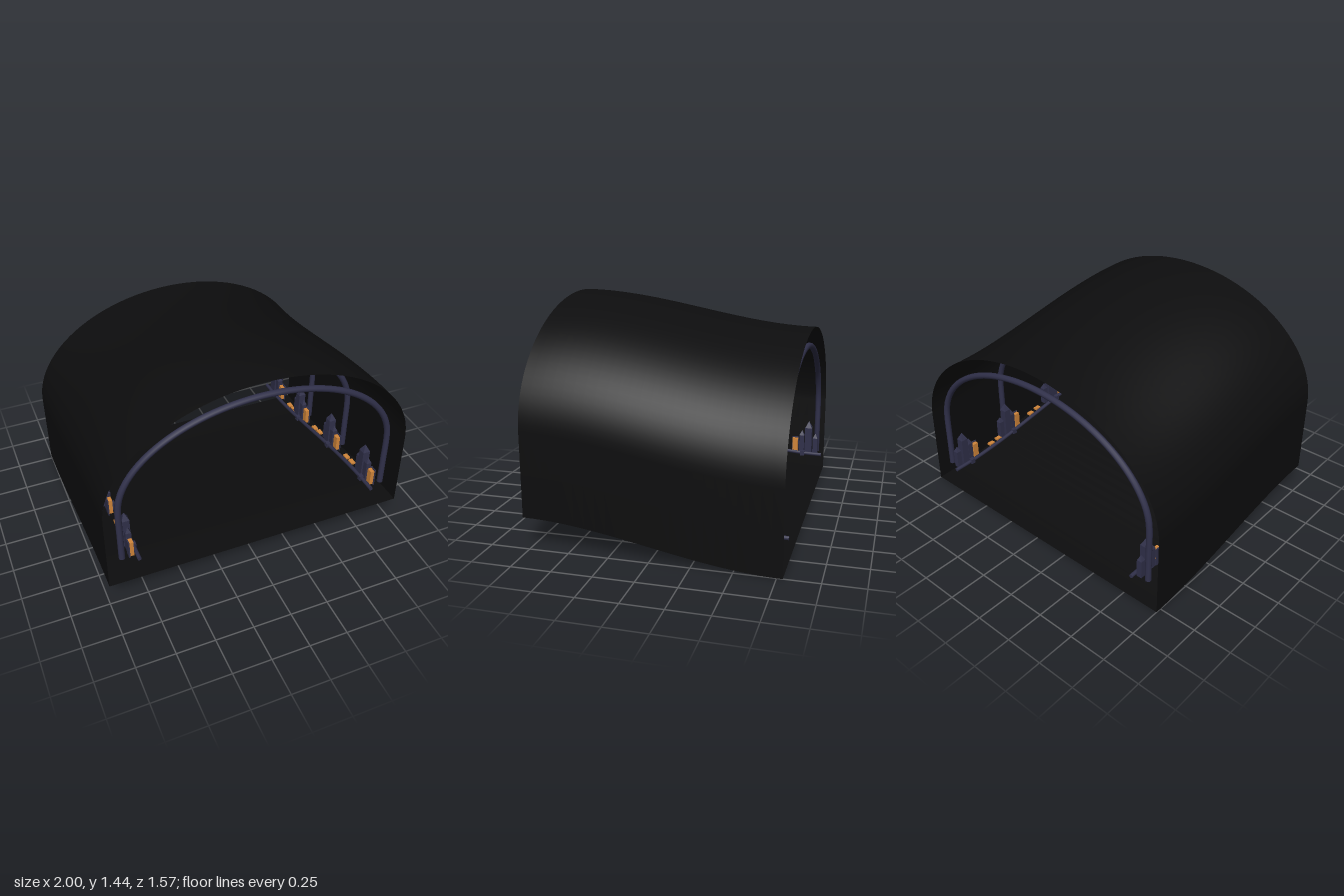
import * as THREE from 'three';

const HALF = 0.785;
const black = new THREE.MeshStandardMaterial({ name: 'shellBlack', color: 0x0d0d0e, side: THREE.DoubleSide });
const purple = new THREE.MeshStandardMaterial({ name: 'darkPurple', color: 0x30304a });
const orange = new THREE.MeshStandardMaterial({ name: 'lampOrange', color: 0xd0853a });

// Floor height along the tunnel: a smooth ramp from back to front
const floorY = (z) => 0.2 * THREE.MathUtils.smoothstep(z, -HALF, HALF);

function add(group, name, geometry, material, x = 0, y = 0, z = 0) {
  const mesh = new THREE.Mesh(geometry, material);
  mesh.name = name;
  mesh.position.set(x, y, z);
  group.add(mesh);
  return mesh;
}

// Half arch profile: straight walls from y0 to the spring line, then a half ellipse
function archPoints(rx, y0, spring, top, steps) {
  const pts = [[rx, y0], [rx, (y0 + spring) / 2]];
  for (let i = 0; i <= steps; i++) {
    const a = (Math.PI * i) / steps;
    pts.push([rx * Math.cos(a), spring + (top - spring) * Math.sin(a)]);
  }
  pts.push([-rx, (y0 + spring) / 2], [-rx, y0]);
  return pts;
}

// Sweep an open cross-section along z, following the ramp
function sweep(profile, rows) {
  const pos = [], idx = [], n = profile.length;
  for (let r = 0; r <= rows; r++) {
    const z = HALF - (2 * HALF * r) / rows;
    for (const [x, y] of profile) pos.push(x, y + floorY(z), z);
  }
  for (let r = 0; r < rows; r++) {
    for (let i = 0; i < n - 1; i++) {
      const a = r * n + i, b = a + 1, c = a + n, d = c + 1;
      idx.push(a, c, b, b, c, d);
    }
  }
  const g = new THREE.BufferGeometry();
  g.setAttribute('position', new THREE.Float32BufferAttribute(pos, 3));
  g.setIndex(idx);
  g.computeVertexNormals();
  return g;
}

// Pointed four-sided column
function spire(group, x, y, z, width, height) {
  const r = width / Math.SQRT2, tip = width * 1.0;
  const body = new THREE.BoxGeometry(width, height - tip, width);
  add(group, 'spireColumn', body, purple, x, y + (height - tip) / 2, z);
  const cone = new THREE.ConeGeometry(r, tip, 4, 1).toNonIndexed();
  cone.rotateY(Math.PI / 4);
  cone.computeVertexNormals();
  add(group, 'spireTip', cone, purple, x, y + height - tip / 2, z);
}

export function createModel() {
  const model = new THREE.Group();
  model.name = 'tunnelSegment';

  // Thin tunnel skin and floor
  add(model, 'tunnelShell', sweep(archPoints(1, 0, 0.53, 1.243, 48), 24), black);
  add(model, 'tunnelFloor', sweep([[-1, 0], [1, 0]], 24), black);

  // Four arched ribs
  for (const z of [0.735, 0.245, -0.245, -0.74]) {
    const pts = archPoints(0.895, 0.16, 0.53, 1.115, 24).map(([x, y]) => new THREE.Vector3(x, y + floorY(z), z));
    const curve = new THREE.CatmullRomCurve3(pts);
    add(model, 'archRib', new THREE.TubeGeometry(curve, 72, 0.02, 10), purple);
    for (const s of [-1, 1]) {
      const cap = new THREE.CircleGeometry(0.02, 10).rotateX(Math.PI / 2);
      add(model, 'ribFoot', cap, purple, s * 0.895, floorY(z) + 0.16, z);
    }
  }

  for (const s of [-1, 1]) {
    const side = new THREE.Group();
    side.name = s > 0 ? 'leftFittings' : 'rightFittings';
    model.add(side);

    // Side rail following the ramp
    const pts = [];
    for (let i = 0; i <= 12; i++) {
      const z = HALF - (2 * HALF * i) / 12;
      pts.push(new THREE.Vector3(s * 0.8, floorY(z) + 0.16, z));
    }
    const rail = new THREE.CatmullRomCurve3(pts);
    add(side, 'sideRail', new THREE.TubeGeometry(rail, 36, 0.013, 8), purple);
    for (const end of [0, 1]) {
      const cap = new THREE.CircleGeometry(0.013, 8);
      if (end) cap.rotateY(Math.PI);
      add(side, 'railEnd', cap, purple, s * 0.8, pts[end * 12].y, pts[end * 12].z);
    }

    // Spire clusters, each with a lamp at its front
    for (const z of [0.715, 0.27, -0.18, -0.585]) {
      const y = floorY(z - 0.08) + 0.15;
      const cluster = new THREE.Group();
      cluster.name = 'spireCluster';
      side.add(cluster);
      spire(cluster, s * 0.83, y, z - 0.1, 0.05, 0.255);
      spire(cluster, s * 0.83, y, z - 0.05, 0.036, 0.18);
      spire(cluster, s * 0.835, y, z - 0.15, 0.036, 0.16);
      const ly = floorY(z) + 0.205;
      add(cluster, 'lamp', new THREE.BoxGeometry(0.026, 0.11, 0.04), orange, s * 0.83, ly, z);
      add(cluster, 'lampFrame', new THREE.BoxGeometry(0.008, 0.125, 0.05), purple, s * 0.847, ly, z);
      add(cluster, 'railCollar', new THREE.BoxGeometry(0.034, 0.034, 0.03), purple, s * 0.8, floorY(z - 0.06) + 0.16, z - 0.06);
    }

    // Small marker chips between the clusters
    for (const z of [0.45, 0.0, -0.4]) {
      for (const dz of [-0.035, 0.035]) {
        add(side, 'markerChip', new THREE.BoxGeometry(0.03, 0.014, 0.045), orange, s * 0.83, floorY(z + dz) + 0.165, z + dz);
      }
    }
  }
  return model;
}
